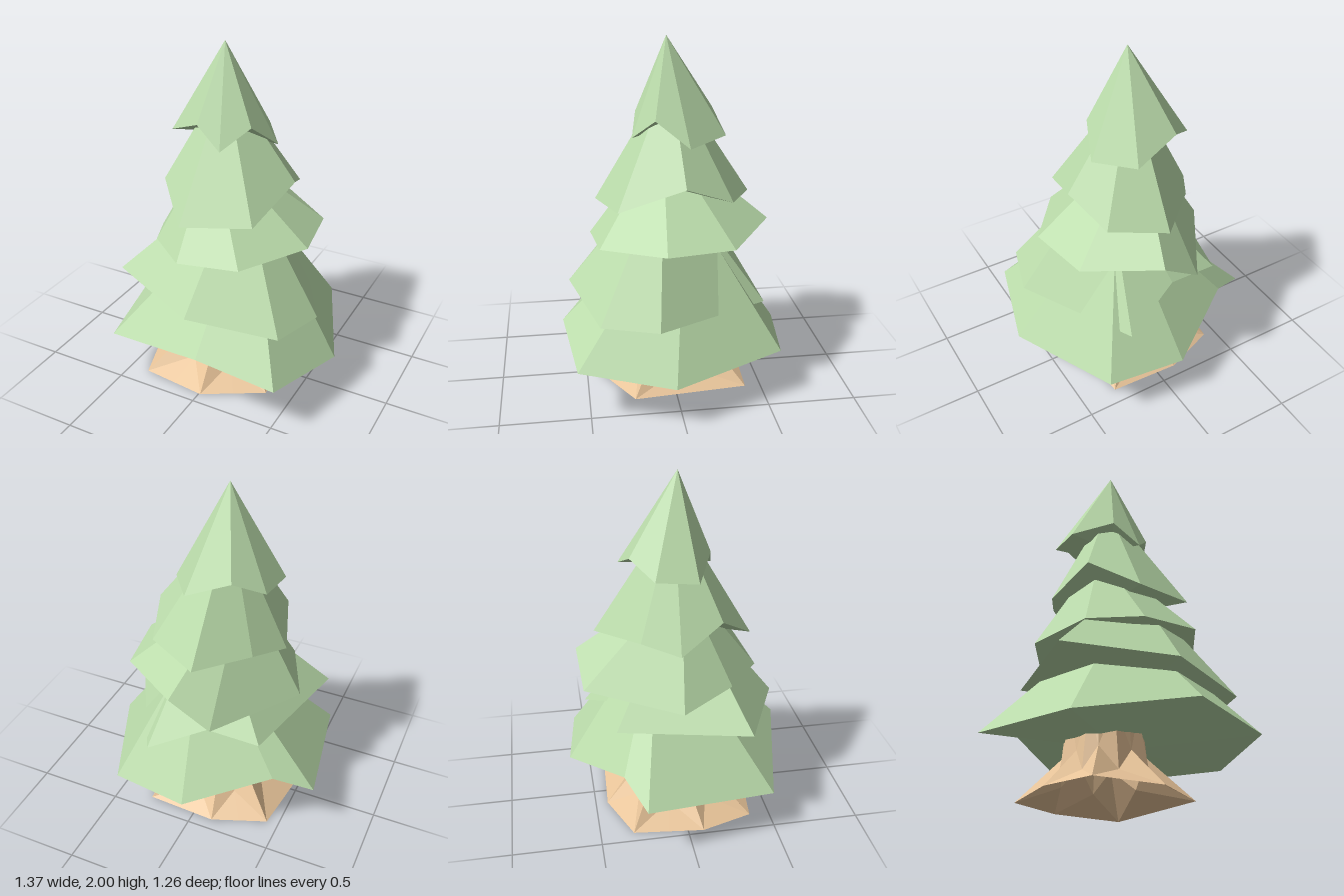
import * as THREE from 'three';

const foliageGreen = new THREE.MeshStandardMaterial({ color: 0xbadbaa });
// The trunk is an open shell, so it shows from both sides
const barkTan = new THREE.MeshStandardMaterial({ color: 0xe8c499, side: THREE.DoubleSide });

// Separate triangles give flat facets
function facetMesh(name, triangles, material) {
  const geometry = new THREE.BufferGeometry();
  geometry.setAttribute('position', new THREE.Float32BufferAttribute(triangles.flat(2), 3));
  geometry.computeVertexNormals();
  const mesh = new THREE.Mesh(geometry, material);
  mesh.name = name;
  return mesh;
}

// Ragged cone: rim points run from +x towards +z, closed below
function tier(name, apex, rim) {
  const meanY = rim.reduce((sum, p) => sum + p[1], 0) / rim.length;
  const under = [apex[0], meanY - 0.01, apex[2]];
  const triangles = [];
  rim.forEach((p, i) => {
    const q = rim[(i + 1) % rim.length];
    triangles.push([p, apex, q], [p, q, under]);
  });
  return facetMesh(name, triangles, foliageGreen);
}

// Trunk: seven splayed roots with low valleys between, rising to a stem
function trunk() {
  const roots = [[0.345, 0.24], [0.01, 0.43], [-0.38, 0.385], [-0.475, 0.09],
    [-0.43, -0.31], [-0.12, -0.43], [0.29, -0.41]];
  const outline = roots.flatMap(([x, z], i) => {
    const [nx, nz] = roots[(i + 1) % roots.length];
    return [[x, z], [(x + nx) / 2, (z + nz) / 2]];
  });
  const cx = -0.05, cz = -0.04;
  const ring = (rootScale, rootY, valleyScale, valleyY) => outline.map(([x, z], i) => {
    const s = i % 2 ? valleyScale : rootScale;
    return [cx + (x - cx) * s, i % 2 ? valleyY : rootY, cz + (z - cz) * s];
  });
  const rings = [
    ring(1, 0, 1, 0),
    ring(0.48, 0.23, 0.62, 0.1),
    ring(0.43, 0.46, 0.47, 0.46),
  ];
  const triangles = [];
  for (let r = 0; r < rings.length - 1; r++) {
    for (let i = 0; i < outline.length; i++) {
      const j = (i + 1) % outline.length;
      const [a, b, c, d] = [rings[r][i], rings[r][j], rings[r + 1][j], rings[r + 1][i]];
      if (i % 2) triangles.push([a, d, b], [b, d, c]);
      else triangles.push([a, d, c], [a, c, b]);
    }
  }
  return facetMesh('trunk', triangles, barkTan);
}

export function createModel() {
  const tree = new THREE.Group();
  tree.name = 'pineTree';
  tree.add(trunk());

  // Foliage, from the lowest skirt to the tip
  tree.add(tier('foliageTier1', [0.08, 1.13, -0.08], [
    [0.685, 0.255, 0.05], [0.54, 0.31, 0.565], [0.1, 0.413, 0.63], [-0.555, 0.27, 0.47],
    [-0.685, 0.325, -0.26], [-0.47, 0.42, -0.36], [-0.03, 0.29, -0.635], [0.415, 0.29, -0.58]]));

  tree.add(tier('foliageTier2', [0.08, 1.3, 0.04], [
    [0.595, 0.545, 0.125], [0.5, 0.55, 0.435], [0.01, 0.62, 0.585], [-0.555, 0.66, 0.34],
    [-0.39, 0.66, -0.385], [-0.09, 0.69, -0.41], [0.24, 0.52, -0.515]]));

  tree.add(tier('foliageTier3', [-0.12, 1.43, 0.02], [
    [0.5, 0.93, 0.075], [0.25, 0.895, 0.415], [-0.11, 0.865, 0.45], [-0.355, 0.865, 0.26],
    [-0.495, 0.795, -0.03], [-0.165, 0.81, -0.54], [0.065, 0.965, -0.56], [0.44, 0.93, -0.3]]));

  tree.add(tier('foliageTier4', [-0.05, 1.8, -0.01], [
    [0.36, 1.25, -0.045], [0.28, 1.11, 0.315], [-0.11, 1.07, 0.415], [-0.315, 1.235, 0.21],
    [-0.4, 1.09, -0.03], [-0.28, 1.13, -0.23], [-0.025, 1.11, -0.46], [0.275, 1.14, -0.315]]));

  tree.add(tier('foliageTip', [-0.04, 2, 0.01], [
    [0.16, 1.575, 0.095], [0.03, 1.455, 0.21], [-0.125, 1.57, 0.175], [-0.34, 1.475, 0.075],
    [-0.32, 1.49, -0.155], [-0.17, 1.575, -0.27], [0.08, 1.465, -0.305], [0.235, 1.435, -0.085]]));

  return tree;
}
